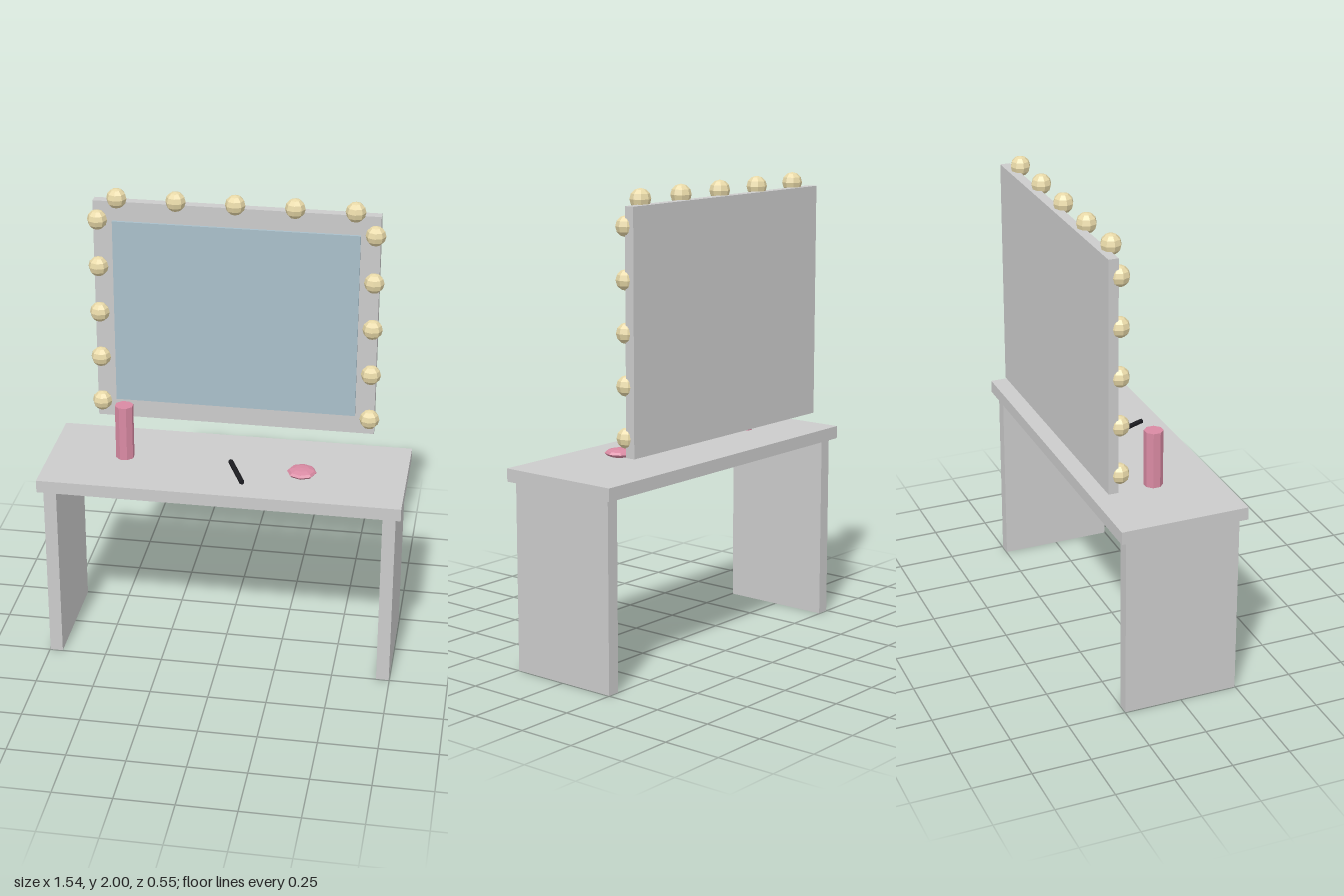
import * as THREE from 'three';

const mat = (color) => new THREE.MeshStandardMaterial({ color, flatShading: true });

export function createModel() {
  const group = new THREE.Group();
  const grey = mat(0xcccccc), cream = mat(0xe8d9a8), pink = mat(0xd98aa3);
  const blue = mat(0xa9bfca), black = mat(0x1c1c20);

  const add = (name, geometry, material, x, y, z) => {
    const mesh = new THREE.Mesh(geometry, material);
    mesh.name = name;
    mesh.position.set(x, y, z);
    group.add(mesh);
    return mesh;
  };
  const box = (name, w, h, d, material, x, y, z) =>
    add(name, new THREE.BoxGeometry(w, h, d), material, x, y, z);

  // Table: top and two panel legs
  box('tableTop', 1.54, 0.055, 0.55, grey, 0, 0.83, 0);
  for (const [side, s] of [['left', 1], ['right', -1]])
    box(side + 'Leg', 0.055, 0.803, 0.495, grey, s * 0.72, 0.4015, 0);

  // Mirror: frame panel with the glass slightly proud of it
  box('mirrorFrame', 1.21, 0.995, 0.042, grey, 0, 1.44, -0.242);
  box('mirrorGlass', 1.045, 0.825, 0.012, blue, 0, 1.44, -0.216);

  // Bulbs up both sides and along the top edge
  const bulb = new THREE.SphereGeometry(0.043, 8, 6);
  for (let i = 0; i < 5; i++) {
    const y = 1.018 + i * 0.21;
    add('leftBulb', bulb, cream, 0.585, y, -0.21);
    add('rightBulb', bulb, cream, -0.585, y, -0.21);
    add('topBulb', bulb, cream, -0.5 + i * 0.25, 1.957, -0.21);
  }

  // Cosmetics on the table
  const bottle = add('bottle', new THREE.CylinderGeometry(0.04, 0.04, 0.245, 8), pink, -0.443, 0.983, 0);
  bottle.rotation.y = Math.PI / 8;

  const compact = add('compact', new THREE.SphereGeometry(0.063, 8, 6), pink, 0.33, 0.879, 0.053);
  compact.scale.y = 0.3;

  const pencil = add('pencil', new THREE.CylinderGeometry(0.011, 0.011, 0.195, 6).rotateX(Math.PI / 2),
    black, 0.055, 0.874, 0.089);
  pencil.rotation.y = 0.408;

  return group;
}
